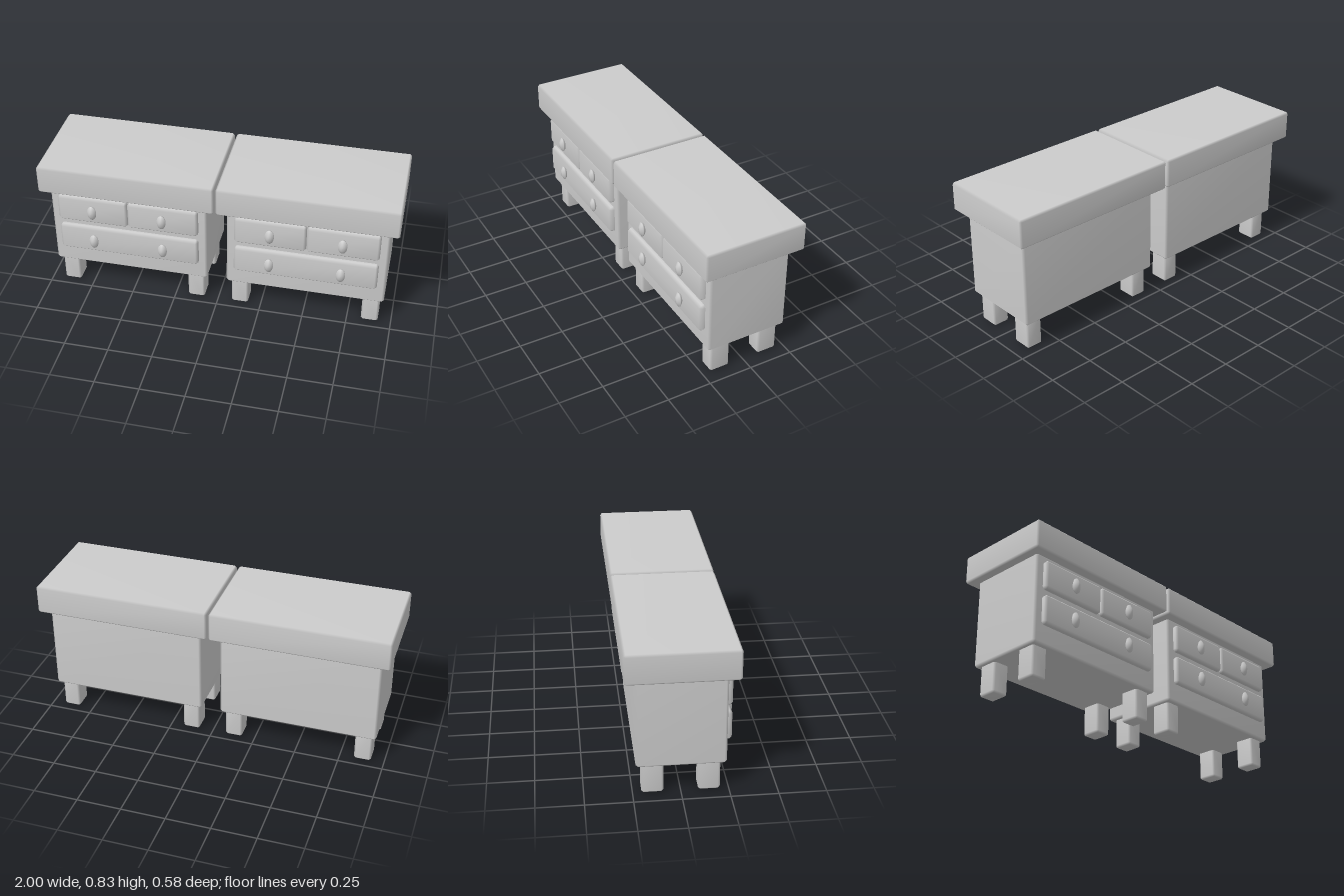
import * as THREE from 'three';
import { ConvexGeometry } from 'three/addons/geometries/ConvexGeometry.js';
import { mergeVertices } from 'three/addons/utils/BufferGeometryUtils.js';

const grey = new THREE.MeshStandardMaterial({ color: 0xcccccc });
grey.name = 'plainGrey';

// Box with chamfered edges and soft normals, given by its limits
function softBox(name, [x0, x1], [y0, y1], [z0, z1], bevel) {
  const half = [(x1 - x0) / 2, (y1 - y0) / 2, (z1 - z0) / 2];
  const points = [];
  for (const sx of [-1, 1]) for (const sy of [-1, 1]) for (const sz of [-1, 1]) {
    const sign = [sx, sy, sz];
    for (let axis = 0; axis < 3; axis++) {
      points.push(new THREE.Vector3(...half.map((h, i) => sign[i] * (i === axis ? h : h - bevel))));
    }
  }
  let geometry = new ConvexGeometry(points);
  geometry.deleteAttribute('normal');
  geometry = mergeVertices(geometry, 1e-5);
  geometry.computeVertexNormals();
  const mesh = new THREE.Mesh(geometry, grey);
  mesh.name = name;
  mesh.position.set((x0 + x1) / 2, (y0 + y1) / 2, (z0 + z1) / 2);
  return mesh;
}

// Oval knob turned around the z axis
const knobProfile = [[0, -0.005], [0.034, -0.005], [0.034, 0.002], [0.044, 0.008],
  [0.044, 0.014], [0.02, 0.027], [0, 0.028]].map(([r, h]) => new THREE.Vector2(r, h));
const knobGeometry = new THREE.LatheGeometry(knobProfile, 20).rotateX(Math.PI / 2).scale(0.58, 1, 1);

function knob(x, y) {
  const mesh = new THREE.Mesh(knobGeometry, grey);
  mesh.name = 'knob';
  mesh.position.set(x, y, 0.263);
  return mesh;
}

function buildCabinet() {
  const cabinet = new THREE.Group();
  cabinet.add(softBox('top', [-0.497, 0.497], [0.67, 0.835], [-0.291, 0.291], 0.011));
  cabinet.add(softBox('body', [-0.447, 0.447], [0.168, 0.68], [-0.234, 0.234], 0.013));

  // Two small drawers above one wide drawer
  const depth = [0.2, 0.263];
  cabinet.add(softBox('smallDrawer', [-0.401, -0.001], [0.478, 0.642], depth, 0.014));
  cabinet.add(softBox('smallDrawer', [0.001, 0.401], [0.478, 0.642], depth, 0.014));
  cabinet.add(softBox('wideDrawer', [-0.401, 0.401], [0.278, 0.443], depth, 0.014));
  for (const x of [-0.2, 0.2]) for (const y of [0.56, 0.36]) cabinet.add(knob(x, y));

  // Four legs
  for (const x of [-0.375, 0.375]) for (const z of [-0.147, 0.147]) {
    cabinet.add(softBox('leg', [x - 0.048, x + 0.048], [0, 0.19], [z - 0.057, z + 0.057], 0.011));
  }
  return cabinet;
}

export function createModel() {
  const model = new THREE.Group();
  model.name = 'doubleCabinet';
  for (const side of [-1, 1]) {
    const cabinet = buildCabinet();
    cabinet.name = side < 0 ? 'rightCabinet' : 'leftCabinet';
    cabinet.position.x = side * 0.503;
    model.add(cabinet);
  }
  return model;
}
